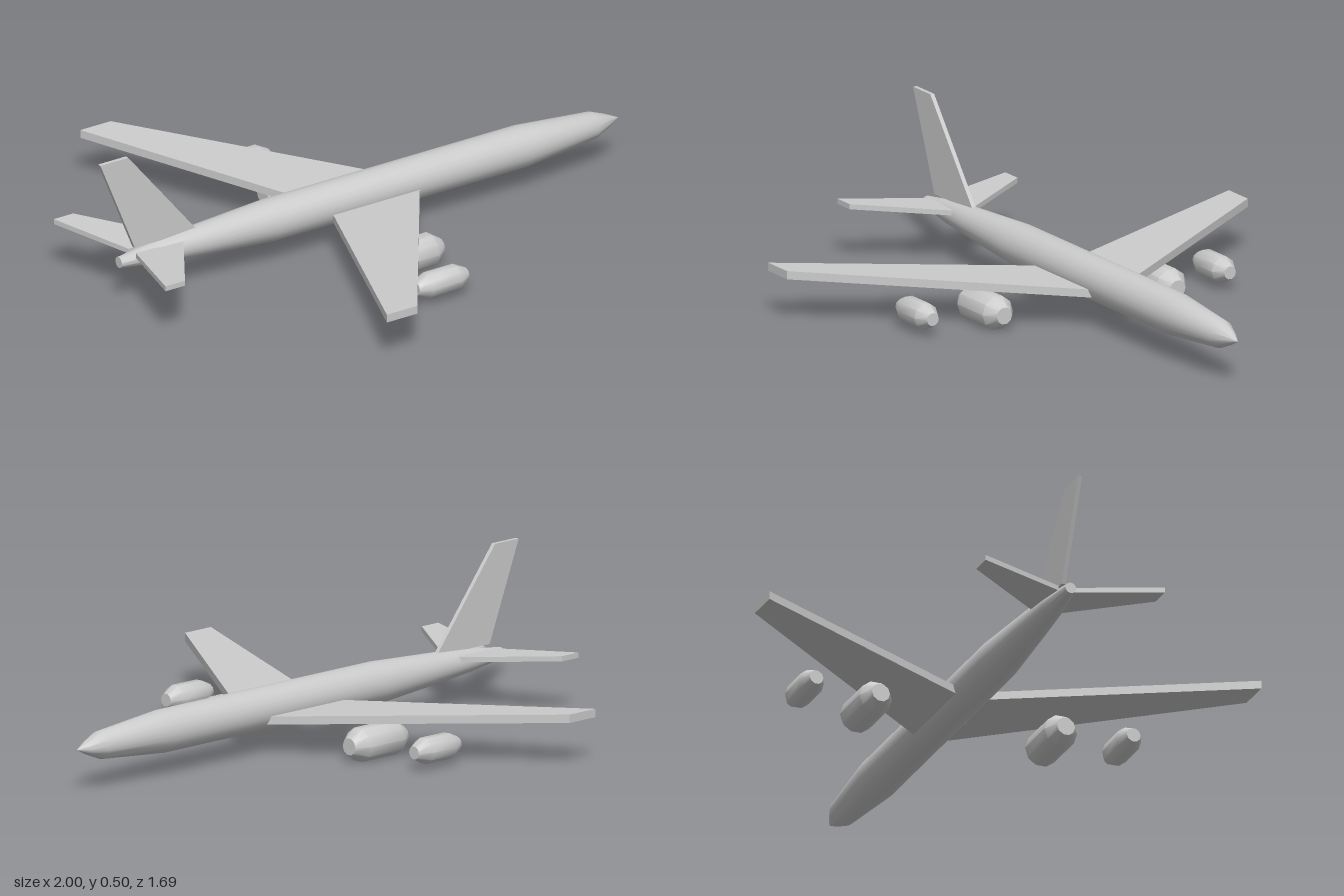
import * as THREE from 'three';
import { toCreasedNormals } from 'three/addons/utils/BufferGeometryUtils.js';

const grey = new THREE.MeshStandardMaterial({ color: 0xcccccc });

// Body of revolution along +x from [x, radius] pairs, tail first
function revolve(profile, sides) {
  const points = profile.map(([x, r]) => new THREE.Vector2(r, x));
  return new THREE.LatheGeometry(points, sides).rotateZ(-Math.PI / 2);
}

// Tapered, swept slab; root and tip give span position, chord ends and thickness limits
function panel(root, tip, side = 1) {
  const geometry = new THREE.BoxGeometry(2, 2, 2);
  const p = geometry.attributes.position;
  for (let i = 0; i < p.count; i++) {
    const s = p.getZ(i) * side > 0 ? tip : root;
    p.setXYZ(i,
      p.getX(i) > 0 ? s.lead : s.trail,
      p.getY(i) > 0 ? s.top : s.bottom,
      s.span * side);
  }
  geometry.computeVertexNormals();
  return geometry;
}

export function createModel() {
  const model = new THREE.Group();
  model.name = 'airliner';
  const add = (name, geometry) => {
    const mesh = new THREE.Mesh(geometry, grey);
    mesh.name = name;
    model.add(mesh);
    return mesh;
  };

  // Fuselage, with the tail cone lifted slightly
  const body = revolve([
    [-0.925, 0], [-0.925, 0.018], [-0.77, 0.039], [-0.63, 0.05], [-0.35, 0.069],
    [0.62, 0.069], [0.893, 0.045], [0.95, 0.023], [0.997, 0],
  ], 24);
  const p = body.attributes.position;
  for (let i = 0; i < p.count; i++) {
    const lift = 0.005 * THREE.MathUtils.clamp((-0.35 - p.getX(i)) / 0.4, 0, 1);
    p.setY(i, p.getY(i) + 0.142 + lift);
  }
  add('fuselage', toCreasedNormals(body, 0.7));

  // Inner and outer engine pods
  const engines = [
    { name: 'innerEngine', back: -0.15, front: 0.09, r: 0.056, y: 0.056, z: 0.318 },
    { name: 'outerEngine', back: -0.163, front: 0.03, r: 0.043, y: 0.062, z: 0.545 },
  ];

  for (const side of [1, -1]) {
    const suffix = side > 0 ? 'Left' : 'Right';

    add('wing' + suffix, panel(
      { span: 0.058, lead: 0.193, trail: -0.142, top: 0.13, bottom: 0.104 },
      { span: 0.845, lead: -0.366, trail: -0.483, top: 0.169, bottom: 0.142 }, side));

    add('tailplane' + suffix, panel(
      { span: 0.02, lead: -0.69, trail: -0.873, top: 0.173, bottom: 0.157 },
      { span: 0.308, lead: -0.885, trail: -0.96, top: 0.19, bottom: 0.173 }, side));

    for (const e of engines) {
      const pod = revolve([
        [e.back, 0], [e.back, e.r * 0.55], [e.back + 0.042, e.r],
        [e.front - 0.042, e.r], [e.front, e.r * 0.5], [e.front, 0],
      ], 10);
      // Turn so that a corner points straight up
      pod.rotateX(Math.PI / 10 * 5);
      pod.rotateX(Math.PI / 2);
      add(e.name + suffix, toCreasedNormals(pod, 0.75)).position.set(0, e.y, side * e.z);
    }
  }

  // Upright fin: a panel turned so that its span runs upward
  add('fin', panel(
    { span: 0.185, lead: -0.628, trail: -0.868, top: 0.007, bottom: -0.007 },
    { span: 0.505, lead: -0.893, trail: -1, top: 0.007, bottom: -0.007 },
  ).rotateX(-Math.PI / 2));

  return model;
}
